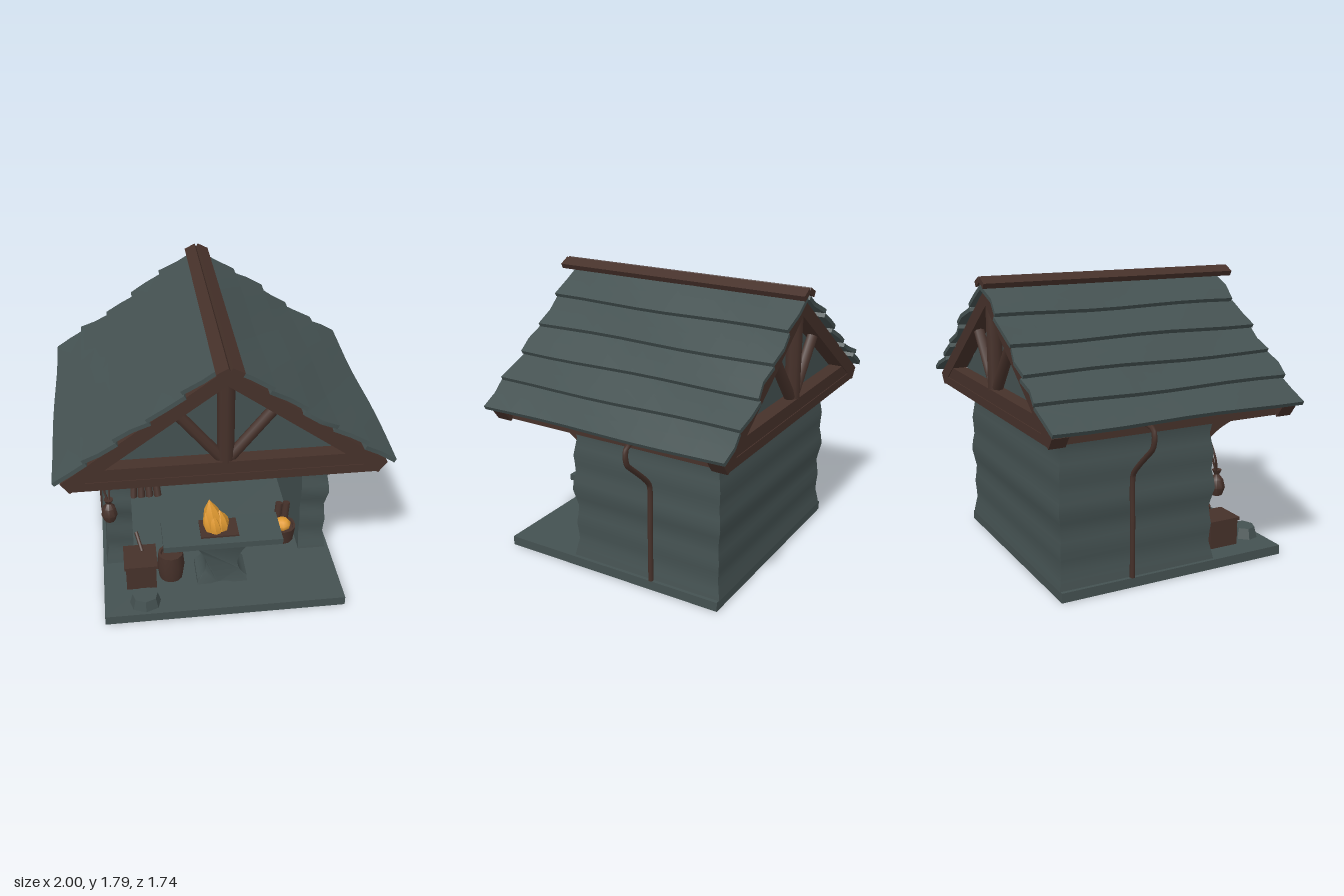
import * as THREE from 'three';
import { toCreasedNormals } from 'three/addons/utils/BufferGeometryUtils.js';

const mat = (name, color, side = THREE.FrontSide) => {
  const m = new THREE.MeshStandardMaterial({ color, side });
  m.name = name;
  return m;
};
const V = (x, y, z) => new THREE.Vector3(x, y, z);

export function createModel() {
  const root = new THREE.Group();
  root.name = 'forgeHut';
  const stone = mat('slate', 0x445151);
  const wood = mat('dark brown wood', 0x46312a);
  const glow = mat('flame orange', 0xe29b32, THREE.DoubleSide);

  const add = (name, geo, m, x = 0, y = 0, z = 0) => {
    const mesh = new THREE.Mesh(geo, m);
    mesh.name = name;
    mesh.position.set(x, y, z);
    root.add(mesh);
    return mesh;
  };
  // Box given by its limits
  const block = (name, m, x0, x1, y0, y1, z0, z1) =>
    add(name, new THREE.BoxGeometry(x1 - x0, y1 - y0, z1 - z0), m, (x0 + x1) / 2, (y0 + y1) / 2, (z0 + z1) / 2);
  // Round pole between two points
  const pole = (name, m, a, b, r0, r1 = r0, sides = 8) => {
    const mesh = add(name, new THREE.CylinderGeometry(r1, r0, a.distanceTo(b), sides), m);
    mesh.position.copy(a).lerp(b, 0.5);
    mesh.quaternion.setFromUnitVectors(V(0, 1, 0), b.clone().sub(a).normalize());
    return mesh;
  };
  // Board between two points of the front plane, running from z0 to z1
  const board = (name, m, ax, ay, bx, by, thick, z0, z1, warp) => {
    const geo = new THREE.BoxGeometry(Math.hypot(bx - ax, by - ay), thick, z1 - z0, 2, 1, 8);
    if (warp) {
      const p = geo.attributes.position;
      for (let i = 0; i < p.count; i++) {
        const z = p.getZ(i), x = p.getX(i);
        p.setY(i, p.getY(i) + 0.007 * Math.sin(z * 5 + warp + x * 9));
        p.setZ(i, z + 0.012 * Math.sin(x * 20 + warp * 2));
      }
    }
    const mesh = add(name, toCreasedNormals(geo, 0.6), m, (ax + bx) / 2, (ay + by) / 2, (z0 + z1) / 2);
    mesh.rotation.z = Math.atan2(by - ay, bx - ax);
    return mesh;
  };
  const tube = (name, m, pts, r, tension = 0.5) =>
    add(name, new THREE.TubeGeometry(new THREE.CatmullRomCurve3(pts, false, 'catmullrom', tension), 40, r, 7), m);
  const lathe = (name, m, pts, sides, x, y, z) =>
    add(name, toCreasedNormals(new THREE.LatheGeometry(pts.map(p => new THREE.Vector2(...p)), sides), 0.7), m, x, y, z);

  // Floor slab
  block('floorSlab', stone, -0.755, 0.755, 0, 0.06, -0.7, 0.83);

  // Three uneven walls, open at the front
  const plan = new THREE.Shape([
    [-0.72, 0.69], [-0.72, -0.32], [-0.55, -0.32], [-0.55, 0.52],
    [0.55, 0.52], [0.55, -0.32], [0.72, -0.32], [0.72, 0.69],
  ].map(p => new THREE.Vector2(...p)));
  const wallGeo = new THREE.ExtrudeGeometry(plan, { depth: 0.92, steps: 16, bevelEnabled: false });
  wallGeo.rotateX(-Math.PI / 2).translate(0, 0.06, 0);
  const wp = wallGeo.attributes.position;
  for (let i = 0; i < wp.count; i++) {
    const x = wp.getX(i), y = wp.getY(i), z = wp.getZ(i);
    const d = 0.007 * Math.sin(y * 27) + 0.006 * Math.sin(y * 12 + 1);
    if (Math.abs(x) > 0.6) wp.setX(i, x + Math.sign(x) * d);
    if (z < -0.6) wp.setZ(i, z - d);
    if (z > 0.3) wp.setZ(i, z + d * 1.3);
  }
  add('walls', toCreasedNormals(wallGeo, 0.7), stone);

  // Ceiling and roof frame
  block('ceiling', wood, -0.88, 0.88, 0.975, 1.03, -0.83, 0.75);
  for (const [z, name, gz] of [[0.7, 'front', 0.6], [-0.78, 'back', -0.68]]) {
    block(name + 'TieBeam', wood, -0.8, 0.8, 1.03, 1.11, z - 0.045, z + 0.045);
    pole(name + 'KingPost', wood, V(0, 1.1, z), V(0, 1.64, z), 0.05);
    for (const s of [-1, 1]) {
      board(name + 'Rafter', wood, -0.02 * s, 1.68, 0.92 * s, 1.0, 0.085, z - 0.05, z + 0.05);
      pole(name + 'Strut', wood, V(0.03 * s, 1.12, z), V(0.27 * s, 1.42, z), 0.035);
    }
    const tri = new THREE.Shape([[-0.86, 1.03], [0.86, 1.03], [0, 1.69]].map(p => new THREE.Vector2(...p)));
    add(name + 'Gable', new THREE.ExtrudeGeometry(tri, { depth: 0.03, bevelEnabled: false }), stone, 0, 0, gz - 0.015);
  }

  // Overlapping roof planks, ridge cap, corner brackets and drain pipes
  const steps = [[0.03, 1.735], [0.25, 1.57], [0.45, 1.43], [0.63, 1.295], [0.81, 1.17], [0.985, 1.045]];
  for (const s of [-1, 1]) {
    for (let i = 0; i < 5; i++) {
      const [ax, ay] = steps[i], [bx, by] = steps[i + 1];
      board('roofPlank', stone, s * (ax - 0.02), ay - 0.005, s * bx, by + 0.015, 0.026,
        -0.855 - 0.008 * (i % 2), 0.765 + 0.01 * ((i + (s > 0 ? 1 : 0)) % 2), i * 2.1 + s + 2);
    }
    board('ridgeCap', wood, s * 0.003, 1.77, s * 0.07, 1.735, 0.035, -0.865, 0.865);

    const br = new THREE.Shape();
    br.moveTo(0.3, 0.98);
    br.lineTo(0.3, 0.79);
    br.quadraticCurveTo(0.4, 0.9, 0.6, 0.94);
    br.lineTo(0.6, 0.98);
    const brGeo = new THREE.ExtrudeGeometry(br, { depth: 0.07, bevelEnabled: false });
    brGeo.rotateY(-Math.PI / 2);
    add('bracket', brGeo, wood, s * 0.635 + 0.035, 0, 0);

    tube('drainPipe', wood, [V(0.745 * s, 0.06, -0.24), V(0.745 * s, 0.4, -0.24), V(0.748 * s, 0.7, -0.24),
      V(0.96 * s, 0.9, -0.24), V(0.985 * s, 0.97, -0.24), V(0.97 * s, 1.02, -0.24), V(0.9 * s, 1.03, -0.24)], 0.016, 0.25);
  }

  // Stone hearth table with waisted pedestal
  const ped = new THREE.Shape();
  ped.moveTo(-0.16, 0.06);
  ped.lineTo(-0.07, 0.06);
  ped.quadraticCurveTo(0, 0.085, 0.07, 0.06);
  ped.lineTo(0.16, 0.06);
  ped.lineTo(0.16, 0.1);
  ped.bezierCurveTo(0.07, 0.16, 0.09, 0.26, 0.17, 0.37);
  ped.lineTo(-0.17, 0.37);
  ped.bezierCurveTo(-0.09, 0.26, -0.07, 0.16, -0.16, 0.1);
  const pedGeo = new THREE.ExtrudeGeometry(ped, { depth: 0.22, bevelEnabled: false });
  const pp = pedGeo.attributes.position;
  for (let i = 0; i < pp.count; i++) {
    const pull = 0.025 * Math.sin((pp.getY(i) - 0.06) / 0.31 * Math.PI);
    pp.setZ(i, pp.getZ(i) + (pp.getZ(i) > 0.1 ? -pull : pull));
  }
  add('hearthPedestal', toCreasedNormals(pedGeo, 0.6), stone, 0, 0, 0.385);
  block('hearthTop', stone, -0.37, 0.38, 0.367, 0.408, 0.36, 0.63);
  block('firePan', wood, -0.13, 0.11, 0.385, 0.42, 0.4, 0.57);

  // Fire: a leaning body with pointed tongues
  [[-0.03, 0.48, 0.065, 0.23, -0.04], [-0.055, 0.47, 0.045, 0.2, -0.02], [0.005, 0.49, 0.05, 0.15, -0.01],
    [0.02, 0.46, 0.04, 0.1, 0.005], [-0.03, 0.52, 0.04, 0.14, -0.02], [-0.02, 0.44, 0.04, 0.15, -0.02],
    [-0.06, 0.5, 0.04, 0.15, -0.035]].forEach(([x, z, r, h, lean]) => {
    const g = new THREE.LatheGeometry([[r * 0.9, 0], [r, h * 0.3], [r * 0.7, h * 0.65], [0, h]].map(p => new THREE.Vector2(...p)), 7);
    const p = g.attributes.position;
    for (let i = 0; i < p.count; i++) p.setX(i, p.getX(i) + lean * p.getY(i) / h);
    add('flame', toCreasedNormals(g, 0.4), glow, x, 0.415, z);
  });

  // Chest, barrel, rock and bucket
  block('chest', wood, -0.61, -0.42, 0.06, 0.235, 0.4, 0.6);
  block('chestLid', wood, -0.62, -0.41, 0.225, 0.245, 0.39, 0.61);
  pole('chestHammer', wood, V(-0.5, 0.24, 0.45), V(-0.53, 0.31, 0.34), 0.012);
  lathe('barrel', wood, [[0, 0], [0.075, 0], [0.088, 0.09], [0.08, 0.19], [0.065, 0.19], [0.06, 0.17], [0, 0.17]], 12, -0.32, 0.06, 0.49);
  const rockGeo = new THREE.CylinderGeometry(0.08, 0.1, 0.07, 7);
  rockGeo.scale(1, 1, 0.85);
  add('rock', toCreasedNormals(rockGeo, 0.3), stone, -0.5, 0.093, 0.73);
  lathe('bucket', wood, [[0, 0], [0.08, 0], [0.095, 0.11], [0.08, 0.11], [0.075, 0.09], [0, 0.09]], 12, 0.46, 0.06, 0.2);
  const coals = add('coals', new THREE.SphereGeometry(0.06, 8, 5), glow, 0.46, 0.18, 0.21);
  coals.scale.y = 0.75;
  for (const x of [0.43, 0.48]) pole('bucketLog', wood, V(x, 0.12, 0.16), V(x + 0.02, 0.3, 0.13), 0.025);

  // Timber leaning on the back wall
  for (let i = 0; i < 4; i++)
    pole('leaningLog', wood, V(-0.53 + i * 0.06, 0.06, -0.36), V(-0.5 + i * 0.04, 0.4 + 0.02 * (i % 2), -0.47), 0.028, 0.02);

  // Tool rack on the back wall
  board('rackShelf', wood, -0.53, 0.925, 0.015, 0.875, 0.05, -0.53, -0.4);
  block('rackRail', wood, -0.52, 0.02, 0.79, 0.83, -0.5, -0.46);
  for (const [x, len, r] of [[-0.32, 0.28, 0.028], [-0.2, 0.24, 0.035], [-0.08, 0.2, 0.03]]) {
    const hook = add('hook', new THREE.TorusGeometry(0.022, 0.007, 6, 12), wood, x, 0.785, -0.45);
    hook.rotation.y = Math.PI / 2 - 0.6;
    lathe('hangingTool', wood, [[0, -len], [r * 0.7, -len], [r, -len * 0.7], [r * 0.4, -len * 0.3], [0.012, 0], [0, 0]], 8, x, 0.775, -0.45);
  }
  block('glowingTip', glow, -0.24, -0.18, 0.54, 0.6, -0.43, -0.41);
  for (const x of [-0.46, -0.42])
    tube('hangingCord', wood, [V(x, 0.8, -0.45), V(x + 0.02, 0.7, -0.45), V(x - 0.02, 0.57, -0.45), V(x, 0.45, -0.45)], 0.007);

  // Pouch hung on the front edge of the right wall
  lathe('pouch', wood, [[0, 0], [0.035, 0.01], [0.052, 0.06], [0.04, 0.11], [0.015, 0.14], [0.03, 0.17], [0, 0.165]], 9, -0.69, 0.45, 0.375);
  for (const d of [-0.015, 0.02])
    tube('pouchCord', wood, [V(-0.69, 0.59, 0.375), V(-0.7 + d, 0.7, 0.345), V(-0.68, 0.81, 0.325)], 0.007);

  return root;
}
